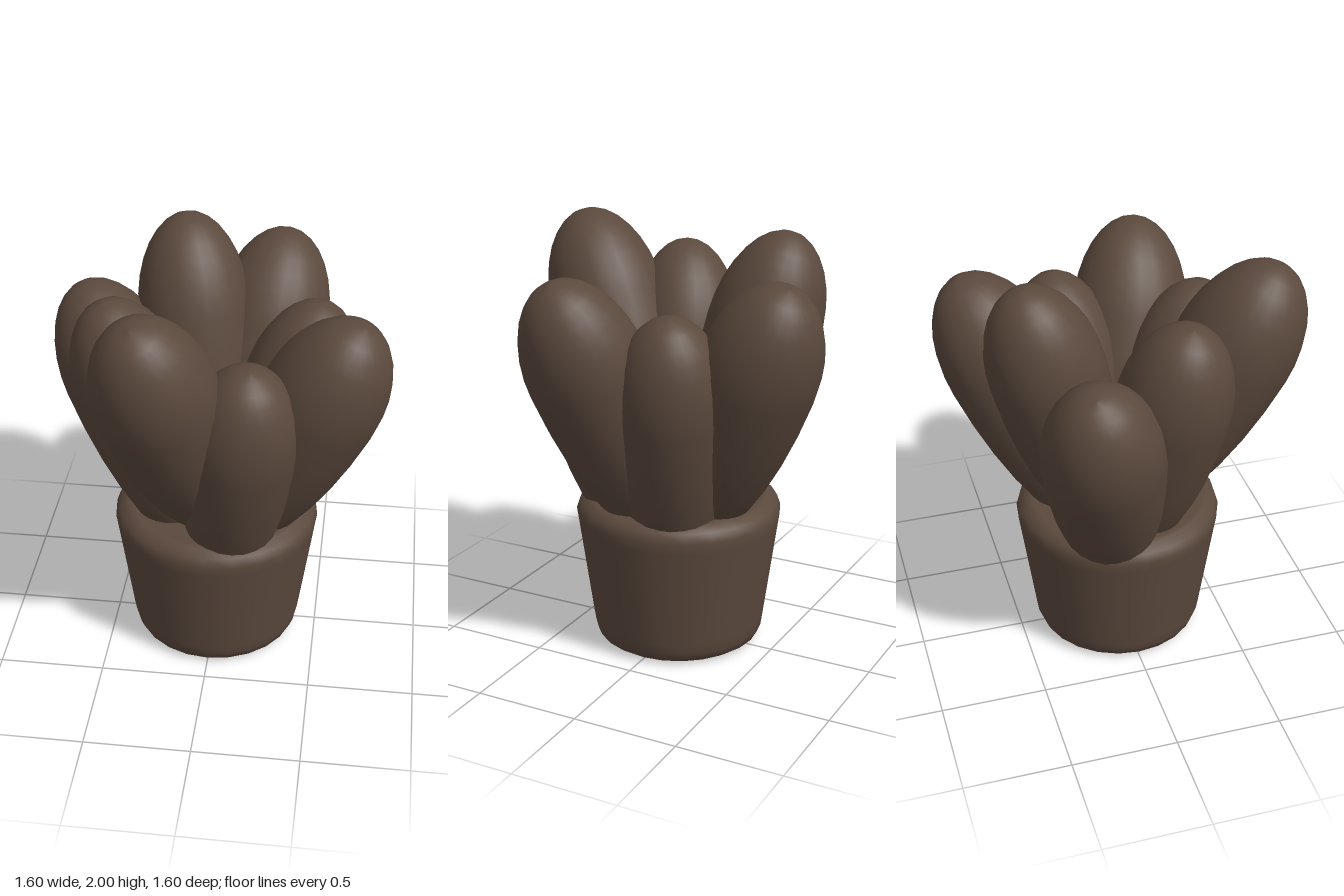
import * as THREE from 'three';

const brown = new THREE.MeshStandardMaterial({ color: 0x5b493d });
brown.name = 'brown';

// Egg-shaped lobe around its widest point: short cap above, long taper below
function lobeGeometry(width, upper, lower) {
  const steps = 16;
  const profile = [];
  for (let i = 0; i <= steps; i++) {
    const t = -Math.PI / 2 + (Math.PI * i) / steps;
    const r = i === 0 || i === steps ? 0 : width * Math.cos(t);
    profile.push(new THREE.Vector2(r, (t < 0 ? lower : upper) * Math.sin(t)));
  }
  return new THREE.LatheGeometry(profile, 24);
}

export function createModel() {
  const model = new THREE.Group();
  model.name = 'pottedSucculent';

  // Tapered pot with rounded rim and foot, closed at the top
  const potProfile = [
    [0, 0], [0.34, 0], [0.36, 0.004], [0.392, 0.025], [0.408, 0.065],
    [0.415, 0.11], [0.482, 0.6], [0.49, 0.655], [0.475, 0.7],
    [0.435, 0.726], [0.41, 0.73], [0, 0.73],
  ].map(([r, y]) => new THREE.Vector2(r, y));
  const pot = new THREE.Mesh(new THREE.LatheGeometry(potProfile, 24), brown);
  pot.name = 'pot';
  model.add(pot);

  // Eight leaning lobes: wide and upright ones alternate, in three heights
  const kinds = [
    { geometry: lobeGeometry(0.28, 0.474, 0.98), tilt: 25, radius: 0.522, drop: 0.44 },
    { geometry: lobeGeometry(0.265, 0.462, 0.95), tilt: 16, radius: 0.39, drop: 0.45 },
  ];
  const tops = [1.86, 1.715, 2.0];
  for (let i = 0; i < 8; i++) {
    const kind = kinds[i % 2];
    const lobe = new THREE.Mesh(kind.geometry, brown);
    lobe.name = 'lobe' + (i + 1);
    lobe.position.set(kind.radius, tops[i % 3] - kind.drop, 0);
    lobe.rotation.z = -THREE.MathUtils.degToRad(kind.tilt);
    const arm = new THREE.Group();
    arm.name = 'lobeArm' + (i + 1);
    arm.rotation.y = -THREE.MathUtils.degToRad(22.5 + 45 * i);
    arm.add(lobe);
    model.add(arm);
  }
  return model;
}
